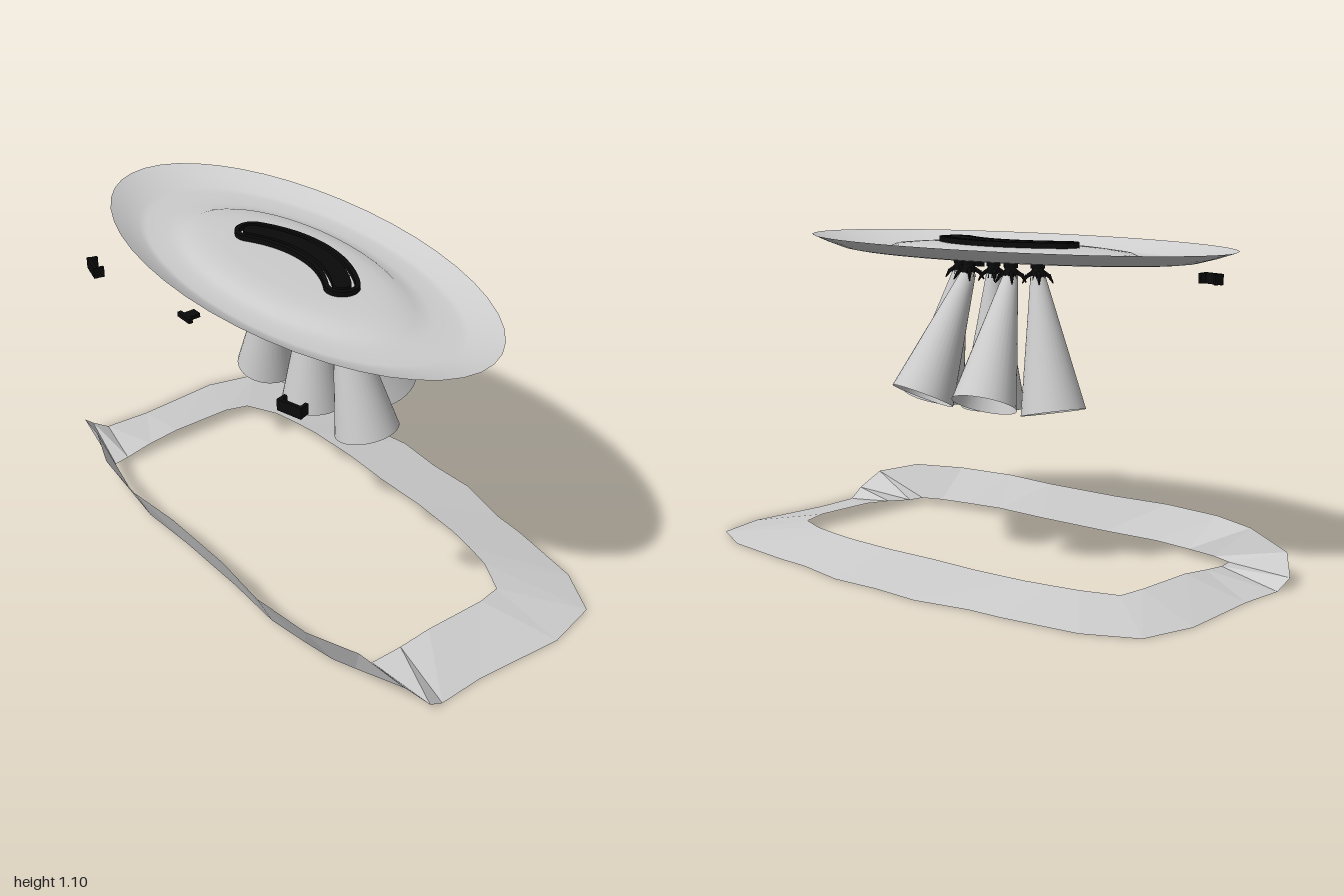
import * as THREE from 'three';

const grey = new THREE.MeshStandardMaterial({ color: 0xcccccc, side: THREE.DoubleSide });
const greyFlat = new THREE.MeshStandardMaterial({ color: 0xcccccc, side: THREE.DoubleSide, flatShading: true });
const black = new THREE.MeshStandardMaterial({ color: 0x0a0a0a });
const V = (x, y, z) => new THREE.Vector3(x, y, z);

function add(parent, name, geometry, material) {
  const mesh = new THREE.Mesh(geometry, material);
  mesh.name = name;
  parent.add(mesh);
  return mesh;
}

// Tapered tube between two points
function taper(parent, name, from, to, rFrom, rTo, sides, material, open = false) {
  const mesh = add(parent, name, new THREE.CylinderGeometry(rFrom, rTo, from.distanceTo(to), sides, 1, open), material);
  mesh.position.copy(from).add(to).multiplyScalar(0.5);
  mesh.quaternion.setFromUnitVectors(V(0, 1, 0), from.clone().sub(to).normalize());
  return mesh;
}

// Kidney outline: an arc of half width w with round ends
function kidney(w, Type = THREE.Shape) {
  const R = 0.446, cx = -0.478, a = 0.568;
  const ex = cx + R * Math.cos(a), ey = R * Math.sin(a);
  const s = new Type();
  s.absarc(cx, 0, R + w, -a, a, false);
  s.absarc(ex, ey, w, a, a + Math.PI, false);
  s.absarc(cx, 0, R - w, a, -a, true);
  s.absarc(ex, -ey, w, Math.PI - a, 2 * Math.PI - a, false);
  return s;
}

function kidneyPlate(parent, name, shape, top, depth) {
  const geometry = new THREE.ExtrudeGeometry(shape, { depth, bevelEnabled: false, curveSegments: 14 });
  add(parent, name, geometry.rotateX(Math.PI / 2), black).position.y = top;
}

// Floor ring: [outer x, y, z, inner x, y, z] along one half, mirrored in z
function floorRing() {
  const half = [
    [0.545, 0, 0, 0.285, 0.048, 0], [0.555, 0, 0.18, 0.29, 0.048, 0.2],
    [0.515, 0, 0.38, 0.28, 0.048, 0.4], [0.51, 0, 0.5, 0.265, 0.048, 0.5],
    [0.475, 0, 0.78, 0.245, 0.047, 0.6], [0.39, 0, 0.95, 0.19, 0.042, 0.72],
    [0.2, 0, 1, 0.1, 0.047, 0.74], [-0.12, 0, 0.98, -0.13, 0.047, 0.74],
    [-0.29, 0, 0.99, -0.25, 0.035, 0.74], [-0.35, 0.035, 1, -0.36, 0.022, 0.73],
    [-0.41, 0.1, 0.95, -0.42, 0.022, 0.72], [-0.455, 0.145, 0.78, -0.45, 0.022, 0.64],
    [-0.525, 0.145, 0.6, -0.47, 0.022, 0.52], [-0.55, 0.145, 0.37, -0.49, 0.022, 0.37],
    [-0.53, 0.145, 0.15, -0.48, 0.022, 0.15], [-0.53, 0.145, 0, -0.48, 0.022, 0],
  ];
  const mirrored = half.slice(1, -1).reverse().map(([a, b, c, d, e, f]) => [a, b, -c, d, e, -f]);
  const loop = [...half, ...mirrored];
  const index = [];
  loop.forEach((_, i) => {
    const o = 2 * i, p = 2 * ((i + 1) % loop.length);
    index.push(o, o + 1, p, p, o + 1, p + 1);
  });
  const geometry = new THREE.BufferGeometry();
  geometry.setAttribute('position', new THREE.Float32BufferAttribute(loop.flat(), 3));
  geometry.setIndex(index);
  const flat = geometry.toNonIndexed();
  flat.computeVertexNormals();
  return flat;
}

export function createModel() {
  const model = new THREE.Group();
  model.name = 'lampAndFloorRing';

  add(model, 'floorRing', floorRing(), greyFlat);

  // Oval ceiling dish
  const profile = [[0, 1.08], [0.34, 1.08], [0.46, 1.074], [0.56, 1.066], [0.6, 1.052],
    [0.68, 1.046], [0.8, 1.046], [0.84, 1.05], [0.92, 1.068], [1, 1.09]];
  const dish = add(model, 'ceilingDish',
    new THREE.LatheGeometry(profile.map(([x, y]) => new THREE.Vector2(x, y)), 44), grey);
  dish.scale.set(0.415, 1, 0.89);
  dish.position.x = -0.113;

  // Kidney mount: outer band and inner plate
  const band = kidney(0.058);
  band.holes.push(kidney(0.042, THREE.Path));
  kidneyPlate(model, 'mountBand', band, 1.098, 0.035);
  kidneyPlate(model, 'mountPlate', kidney(0.03), 1.098, 0.035);

  // Five shaded lamps: neck point and centre of the open end
  const lamps = [[V(-0.03, 0.985, 0), V(-0.03, 0.525, 0)]];
  for (const s of [1, -1]) {
    lamps.push([V(-0.01, 0.985, 0.095 * s), V(0.175, 0.572, 0.14 * s)]);
    lamps.push([V(-0.055, 0.985, 0.175 * s), V(-0.02, 0.537, 0.275 * s)]);
  }
  for (const [neck, end] of lamps) {
    const lamp = new THREE.Group();
    lamp.name = 'lamp';
    model.add(lamp);
    taper(lamp, 'shade', neck, end, 0.025, 0.11, 32, grey, true);
    const at = (dx, y, dz) => V(neck.x + dx, y, neck.z + dz);
    taper(lamp, 'socket', at(0, 1.08, 0), at(0, 1.01, 0), 0.029, 0.024, 12, black);
    taper(lamp, 'collar', at(0, 1.015, 0), neck.clone().lerp(end, 0.03), 0.019, 0.028, 12, black);
    // Small curved prongs around the neck
    for (let i = 0; i < 4; i++) {
      const a = Math.PI / 4 + (i * Math.PI) / 2, c = Math.cos(a), s = Math.sin(a);
      taper(lamp, 'prong', at(0.012 * c, 1.0, 0.012 * s), at(0.036 * c, 0.985, 0.036 * s), 0.009, 0.007, 5, black);
      taper(lamp, 'prongTip', at(0.036 * c, 0.987, 0.036 * s), at(0.052 * c, 0.96, 0.052 * s), 0.008, 0.002, 5, black);
    }
  }

  // Two small side brackets
  for (const s of [1, -1]) {
    const bracket = new THREE.Group();
    bracket.name = 'sideBracket';
    bracket.position.set(-0.541, 0.965, 0.552 * s);
    bracket.rotation.y = 0.27 * s;
    add(bracket, 'bracketBack', new THREE.BoxGeometry(0.012, 0.038, 0.088), black);
    for (const e of [1, -1]) {
      add(bracket, 'bracketArm', new THREE.BoxGeometry(0.03, 0.036, 0.011), black).position.set(0.015, 0, 0.0385 * e);
    }
    model.add(bracket);
  }

  // Small middle clip
  const clip = new THREE.Group();
  clip.name = 'middleClip';
  clip.position.set(-0.513, 1.018, 0);
  add(clip, 'clipBody', new THREE.BoxGeometry(0.05, 0.014, 0.034), black);
  add(clip, 'clipBar', new THREE.BoxGeometry(0.014, 0.016, 0.064), black).position.x = -0.02;
  model.add(clip);

  return model;
}
